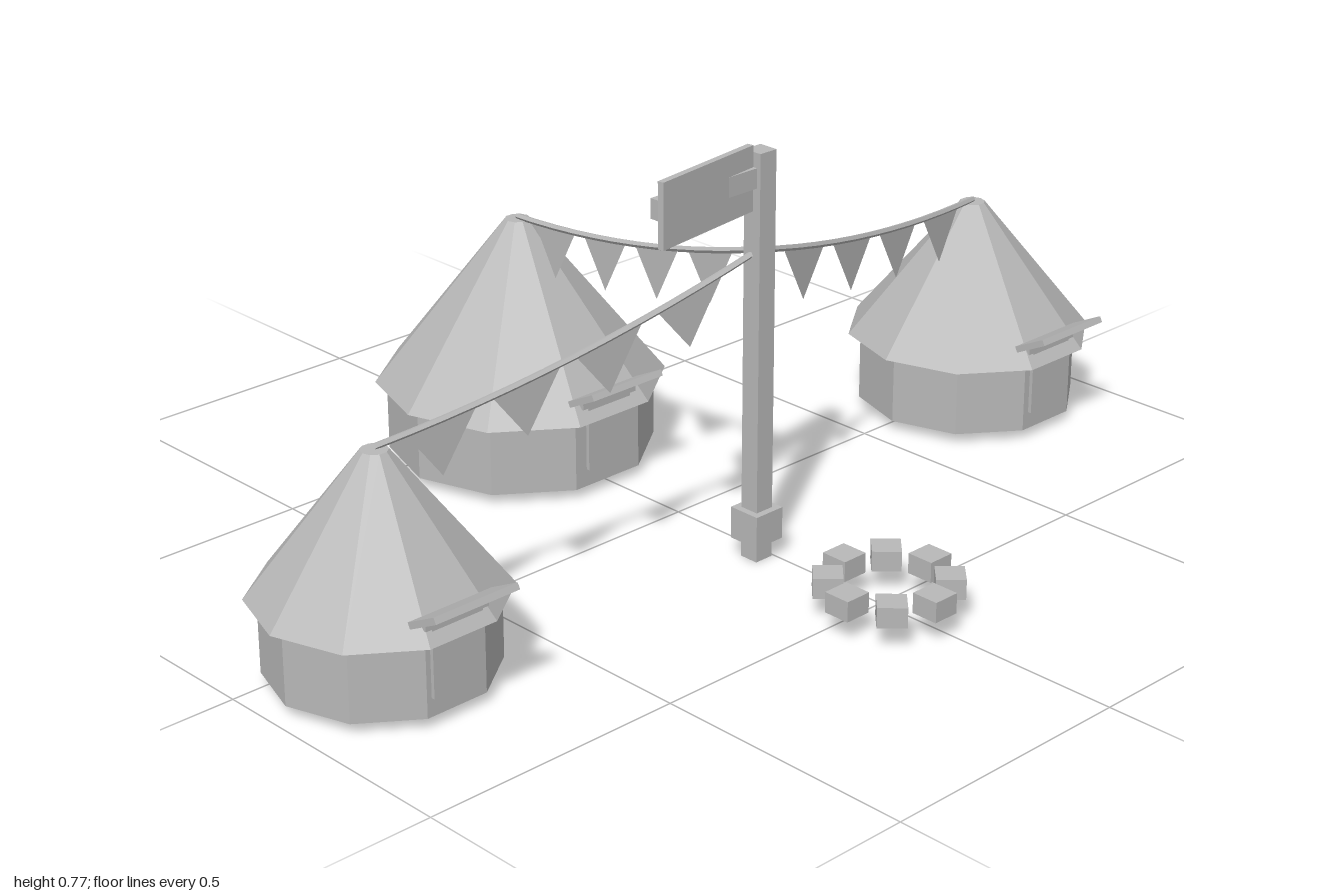
import * as THREE from 'three';

const stone = new THREE.MeshStandardMaterial({ color: 0xb8b8b8, flatShading: true });
stone.name = 'plainGrey';
const cloth = stone.clone();
cloth.name = 'plainGreyCloth';
cloth.side = THREE.DoubleSide;

function add(parent, name, geometry, x = 0, y = 0, z = 0, material = stone) {
  const mesh = new THREE.Mesh(geometry, material);
  mesh.name = name;
  mesh.position.set(x, y, z);
  parent.add(mesh);
  return mesh;
}

// Ten-sided hut with a conical roof, a door and a raised flap on its +x side
function makeHut({ x, z, roofR, wallR, apex }) {
  const hut = new THREE.Group();
  hut.name = 'hut';
  hut.position.set(x, 0, z);
  const eave = 0.155, floor = 0.02;
  const face = wallR * Math.cos(Math.PI / 10);
  add(hut, 'wall', new THREE.CylinderGeometry(wallR, wallR, eave - floor, 10), 0, (eave + floor) / 2, 0);
  add(hut, 'roof', new THREE.CylinderGeometry(0.024, roofR, apex - eave, 10), 0, (apex + eave) / 2, 0);
  add(hut, 'door', new THREE.BoxGeometry(0.02, 0.136, 0.104), face - 0.003, 0.122, 0);
  add(hut, 'lintel', new THREE.BoxGeometry(0.02, 0.015, 0.13), face - 0.003, 0.186, 0);
  const flap = add(hut, 'flap', new THREE.BoxGeometry(0.073, 0.012, 0.172), face + 0.024, 0.208, 0);
  flap.rotation.z = 0.47;
  return hut;
}

// Sagging rope with four triangular pennants
function makeBunting(from, to) {
  const bunting = new THREE.Group();
  bunting.name = 'bunting';
  const middle = from.clone().lerp(to, 0.5);
  middle.y -= 0.045;
  const curve = new THREE.QuadraticBezierCurve3(from, middle, to);
  add(bunting, 'rope', new THREE.TubeGeometry(curve, 12, 0.006, 5, false));
  for (const t of [0.19, 0.405, 0.62, 0.835]) {
    const a = curve.getPoint(t - 0.09), b = curve.getPoint(t + 0.09);
    const tip = curve.getPoint(t);
    tip.y -= 0.1;
    const pennant = new THREE.BufferGeometry().setFromPoints([a, tip, b]);
    pennant.computeVertexNormals();
    add(bunting, 'pennant', pennant, 0, 0, 0, cloth);
  }
  return bunting;
}

export function createModel() {
  const model = new THREE.Group();
  model.name = 'camp';
  const px = 0.224, pz = 0.024;

  const huts = [
    { x: -0.407, z: 0.022, roofR: 0.275, wallR: 0.253, apex: 0.47 },
    { x: 0.027, z: -0.763, roofR: 0.238, wallR: 0.214, apex: 0.419 },
    { x: 0.106, z: 0.774, roofR: 0.222, wallR: 0.199, apex: 0.408 },
  ];
  for (const h of huts) {
    model.add(makeHut(h));
    model.add(makeBunting(
      new THREE.Vector3(px, 0.582, pz),
      new THREE.Vector3(h.x, h.apex + 0.004, h.z)));
  }

  // Post with a collar near the ground
  const post = new THREE.Group();
  post.name = 'post';
  add(post, 'pole', new THREE.BoxGeometry(0.038, 0.762, 0.038), px, 0.381, pz);
  add(post, 'collar', new THREE.BoxGeometry(0.064, 0.06, 0.064), px, 0.066, pz);

  // Arm and board at the top of the post
  add(post, 'arm', new THREE.BoxGeometry(0.018, 0.036, 0.25), 0.226, 0.717, 0.147);
  const board = add(post, 'board', new THREE.BoxGeometry(0.012, 0.118, 0.24), 0.236, 0.715, 0.163);
  board.rotation.y = 0.13;
  model.add(post);

  // Ring of eight stones
  const ring = new THREE.Group();
  ring.name = 'fireRing';
  for (let i = 0; i < 8; i++) {
    const a = i * Math.PI / 4;
    const block = add(ring, 'ringStone', new THREE.BoxGeometry(0.052, 0.038, 0.052),
      0.538 + 0.104 * Math.cos(a), 0.062, 0.022 + 0.104 * Math.sin(a));
    block.rotation.y = -a;
  }
  model.add(ring);
  return model;
}
